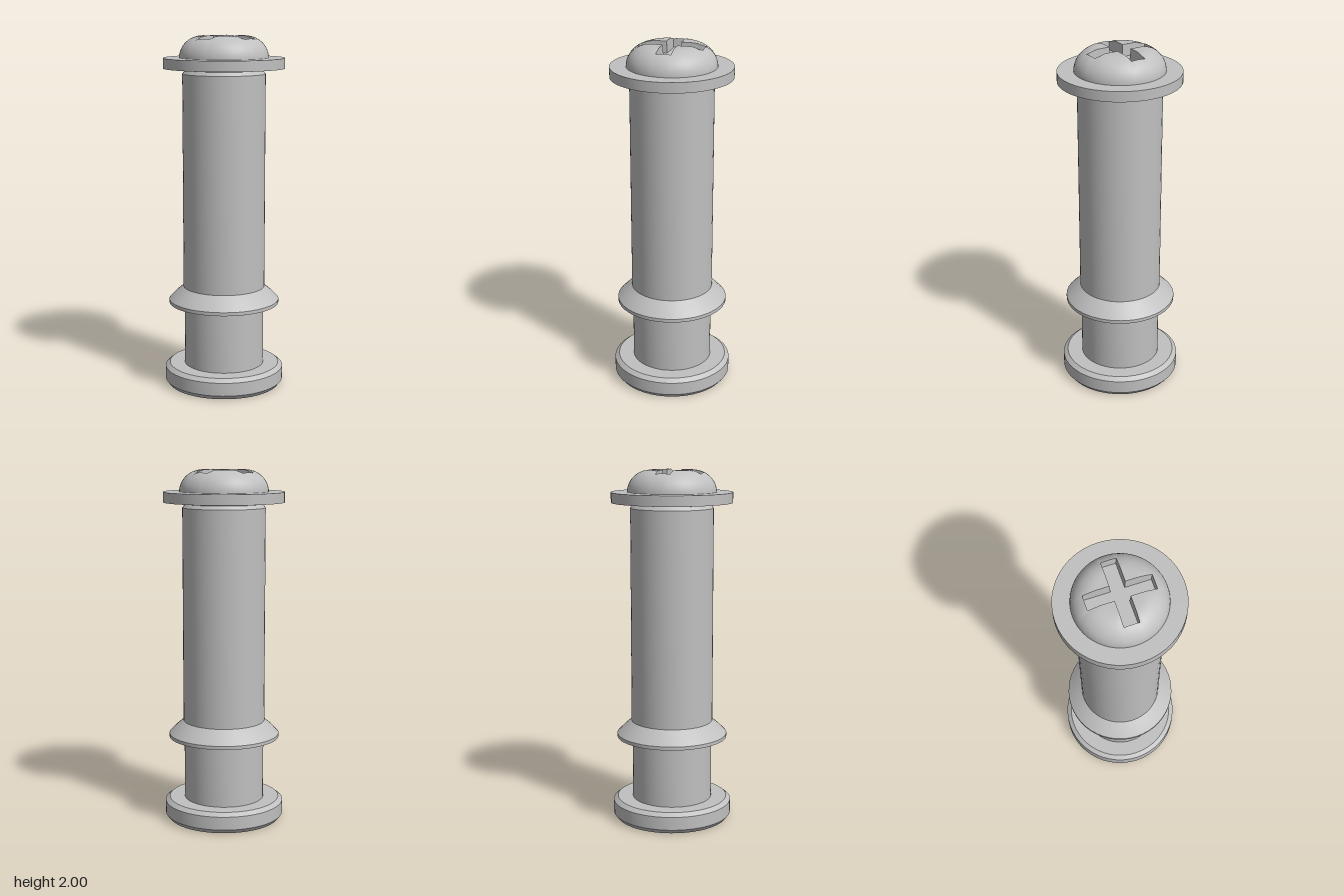
import * as THREE from 'three';
import { toCreasedNormals } from 'three/addons/utils/BufferGeometryUtils.js';

const SEGMENTS = 48;
const HEAD_BASE = 1.875, HEAD_TOP = 2, HEAD_R = 0.25, FLAT_R = 0.12;
const SLOT_W = 0.041, SLOT_L = 0.18, SLOT_FLOOR = 1.935, SLOT_TAPER = 0.004;

// Height of the rounded pan head at a given radius
function domeHeight(r) {
  const u = Math.min(1, Math.max(0, (r - FLAT_R) / (HEAD_R - FLAT_R)));
  return HEAD_BASE + (HEAD_TOP - HEAD_BASE) * Math.sqrt(1 - u * u);
}

// Ray angles around the head, including every corner of the cross slot
function slotAngles() {
  const c = Math.atan2(SLOT_W, SLOT_L), q = Math.PI / 4;
  const octant = [0, c / 2];
  for (let i = 0; i < 5; i++) octant.push(c + (q - c) * i / 5);
  const quarter = [...octant, q, ...octant.slice(1).reverse().map(a => 2 * q - a)];
  return [0, 1, 2, 3].flatMap(k => quarter.map(a => a + k * Math.PI / 2));
}

// Distance from the axis to the cross outline along a ray
function slotRadius(a) {
  const c = Math.abs(Math.cos(a)), s = Math.abs(Math.sin(a));
  const long = Math.max(c, s), short = Math.min(c, s);
  return Math.min(SLOT_L / long, SLOT_W / Math.max(short, 1e-6));
}

function geometryFrom(positions, index) {
  const g = new THREE.BufferGeometry();
  g.setAttribute('position', new THREE.Float32BufferAttribute(positions, 3));
  if (index) g.setIndex(index);
  g.computeVertexNormals();
  return g;
}

// Dome surface running from the slot outline to the head rim
function domeGeometry(angles) {
  const rings = 16, n = angles.length, pos = [], index = [];
  for (const a of angles) {
    const r0 = slotRadius(a);
    for (let j = 0; j <= rings; j++) {
      const r = j === rings ? HEAD_R : r0 + (HEAD_R - r0) * Math.sin(j / rings * Math.PI / 2);
      pos.push(r * Math.cos(a), domeHeight(r), r * Math.sin(a));
    }
  }
  for (let i = 0; i < n; i++) {
    for (let j = 0; j < rings; j++) {
      const a = i * (rings + 1) + j, c = ((i + 1) % n) * (rings + 1) + j;
      index.push(a, c, a + 1, c, c + 1, a + 1);
    }
  }
  return geometryFrom(pos, index);
}

// Walls and floor of the cross recess, slightly tapered
function slotGeometry(angles) {
  const inset = v => Math.abs(v) < 1e-5 ? 0 : v - Math.sign(v) * SLOT_TAPER;
  const top = angles.map(a => {
    const r = slotRadius(a);
    return [r * Math.cos(a), domeHeight(r), r * Math.sin(a)];
  });
  const low = top.map(([x, , z]) => [inset(x), SLOT_FLOOR, inset(z)]);
  const pos = [];
  top.forEach((p, i) => {
    const k = (i + 1) % top.length;
    pos.push(...p, ...low[i], ...top[k], ...top[k], ...low[i], ...low[k]);
    pos.push(0, SLOT_FLOOR, 0, ...low[k], ...low[i]);
  });
  return geometryFrom(pos);
}

export function createModel() {
  const model = new THREE.Group();
  model.name = 'bolt';
  const steel = new THREE.MeshStandardMaterial({ color: 0xc0c0c0 });
  steel.name = 'steel grey';

  const add = (name, geometry, parent = model) => {
    const mesh = new THREE.Mesh(geometry, steel);
    mesh.name = name;
    parent.add(mesh);
  };
  // Turned part from a [radius, height] profile listed bottom to top
  const turned = (name, profile) => add(name, toCreasedNormals(
    new THREE.LatheGeometry(profile.map(p => new THREE.Vector2(...p)), SEGMENTS), 0.4));

  turned('baseFlange', [[0, 0], [0.32, 0], [0.34, 0.025], [0.34, 0.1], [0.315, 0.12], [0, 0.12]]);
  turned('lowerShaft', [[0.228, 0.12], [0.228, 0.48]]);
  turned('collar', [[0.228, 0.48], [0.315, 0.48], [0.315, 0.5], [0.275, 0.54], [0.233, 0.575]]);
  turned('upperShaft', [[0.233, 0.575], [0.233, 1.79], [0.217, 1.81], [0.217, 1.82]]);
  turned('washer', [[0, 1.82], [0.34, 1.82], [0.34, 1.878], [0, 1.878]]);

  // Screw head with cross recess
  const head = new THREE.Group();
  head.name = 'screwHead';
  const angles = slotAngles();
  add('headDome', domeGeometry(angles), head);
  add('crossSlot', slotGeometry(angles), head);
  model.add(head);
  return model;
}
